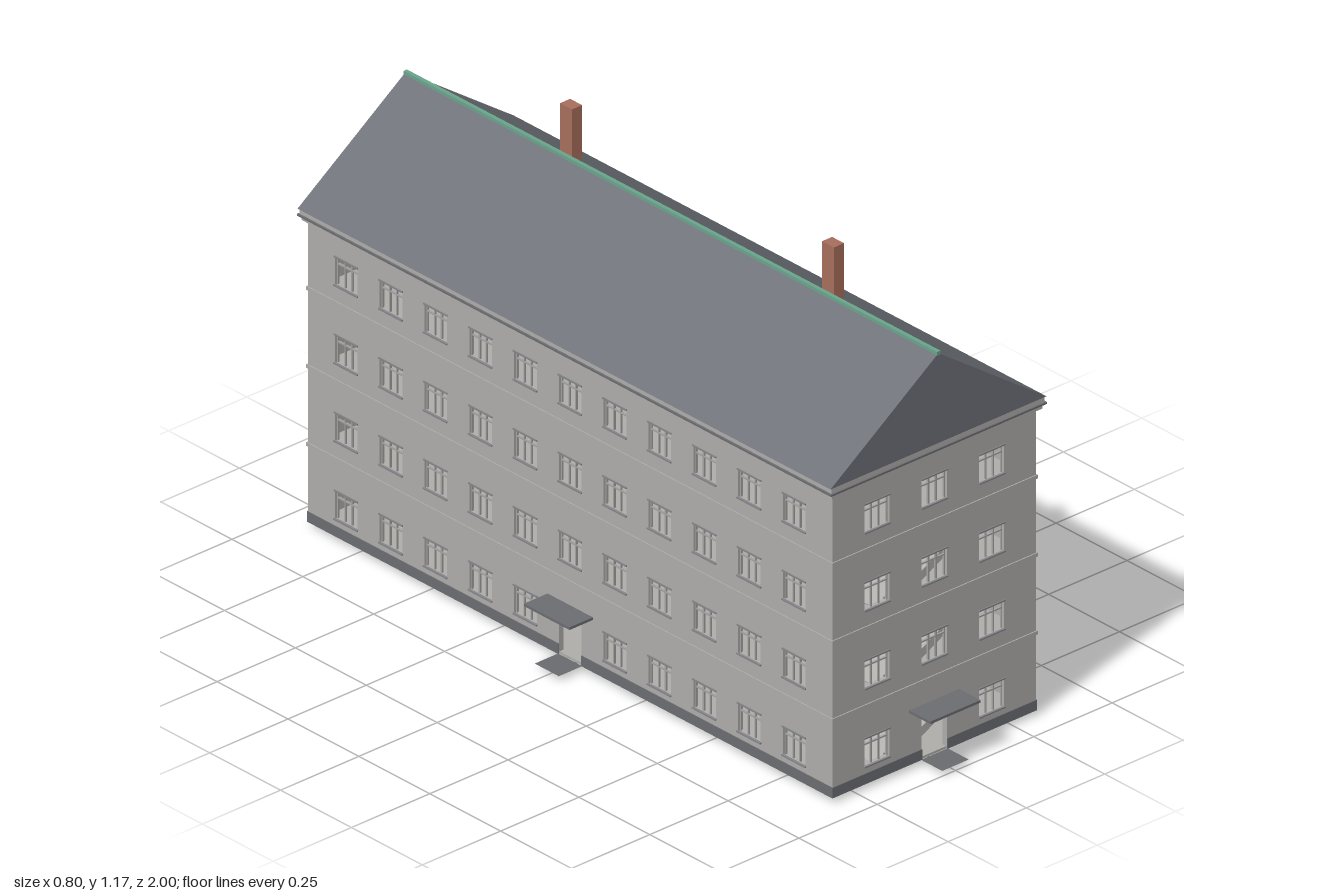
import * as THREE from 'three';
import { mergeGeometries } from 'three/addons/utils/BufferGeometryUtils.js';

const mat = (name, color, side = THREE.FrontSide) => {
  const m = new THREE.MeshStandardMaterial({ color, side });
  m.name = name;
  return m;
};

// Main dimensions
const HX = 0.325, HZ = 0.925, BASE = 0.017, TOP = 0.835, THICK = 0.015;
const FLOOR = 0.21, WIN_W = 0.08, WIN_H = 0.077, WIN_Y = 0.063, DOOR_W = 0.08, DOOR_TOP = 0.14;

const box = (w, h, d, x, y, z) => new THREE.BoxGeometry(w, h, d).translate(x, y, z);

function add(parent, name, geometry, material) {
  const mesh = new THREE.Mesh(Array.isArray(geometry) ? mergeGeometries(geometry) : geometry, material);
  mesh.name = name;
  parent.add(mesh);
  return mesh;
}

// One side of the house, outer face on local z = 0
function facade(name, width, wallWidth, columns, spacing, M) {
  const g = new THREE.Group();
  g.name = name;
  const w = wallWidth / 2, d = DOOR_W / 2;

  // Wall outline with a door notch and window holes
  const shape = new THREE.Shape([
    [-w, BASE], [-d, BASE], [-d, DOOR_TOP], [d, DOOR_TOP], [d, BASE], [w, BASE], [w, TOP], [-w, TOP],
  ].map(([x, y]) => new THREE.Vector2(x, y)));
  const frames = [], ledges = [];
  for (let row = 0; row < 4; row++) {
    for (let c = 0; c < columns; c++) {
      const i = c - (columns - 1) / 2;
      if (row === 0 && i === 0) continue;
      const x = i * spacing, y = WIN_Y + row * FLOOR, h = WIN_W / 2;
      shape.holes.push(new THREE.Path([
        [x - h, y], [x - h, y + WIN_H], [x + h, y + WIN_H], [x + h, y],
      ].map(([a, b]) => new THREE.Vector2(a, b))));
      // Mullions, transom and rim
      for (const mx of [-0.012, 0.012]) frames.push(box(0.004, WIN_H, 0.005, x + mx, y + WIN_H / 2, -0.009));
      for (const s of [-1, 1]) frames.push(box(0.003, WIN_H, 0.005, x + s * (h - 0.0015), y + WIN_H / 2, -0.009));
      frames.push(box(WIN_W, 0.004, 0.005, x, y + WIN_H * 0.72, -0.009));
      // Sill and lintel
      ledges.push(box(WIN_W + 0.004, 0.004, 0.006, x, y, 0.001));
      ledges.push(box(WIN_W + 0.004, 0.004, 0.005, x, y + WIN_H, 0.0005));
    }
  }
  const wall = new THREE.ExtrudeGeometry(shape, { depth: THICK, bevelEnabled: false });
  add(g, 'wall', wall.translate(0, 0, -THICK), M.wall);
  add(g, 'windowFrames', frames, M.frame);
  add(g, 'windowLedges', ledges, M.ledge);

  // Floor bands
  const bands = [];
  for (let i = 0; i < 3; i++) bands.push(box(width + 0.006, 0.01, 0.006, 0, 0.226 + i * FLOOR, 0));
  add(g, 'floorBands', bands, M.wall);

  // Plinth on both sides of the door
  const len = width / 2 - d;
  add(g, 'plinth', [-1, 1].map((s) => box(len + 0.002, 0.028, 0.008, s * (d + len / 2 + 0.001), BASE + 0.014, -0.002)), M.trim);

  // Canopy and thin doorstep
  add(g, 'canopy', box(0.16, 0.007, 0.075, 0, 0.16, 0.0375), M.trim);
  const step = new THREE.PlaneGeometry(0.085, 0.075).rotateX(-Math.PI / 2).translate(0, BASE, 0.0375);
  add(g, 'doorstep', step, M.step);
  return g;
}

export function createModel() {
  const model = new THREE.Group();
  model.name = 'apartmentHouse';
  const M = {
    wall: mat('wall grey', 0xb0aeab),
    frame: mat('frame grey', 0xa3a3a2),
    ledge: mat('ledge grey', 0x85868a),
    trim: mat('trim slate', 0x6c6e72),
    step: mat('doorstep slate', 0x6a6c70, THREE.DoubleSide),
    roof: mat('roof slate', 0x6d7178),
    brick: mat('chimney brick', 0xa86f5c),
    ridge: mat('ridge green', 0x6aa58c),
  };

  // Four sides
  const sides = [
    ['frontSide', 0, HZ, 2 * HX, 2 * HX, 3, 0.183],
    ['backSide', Math.PI, HZ, 2 * HX, 2 * HX, 3, 0.183],
    ['leftSide', Math.PI / 2, HX, 2 * HZ, 2 * (HZ - THICK), 11, 0.158],
    ['rightSide', -Math.PI / 2, HX, 2 * HZ, 2 * (HZ - THICK), 11, 0.158],
  ];
  for (const [name, turn, dist, width, wallWidth, columns, spacing] of sides) {
    const f = facade(name, width, wallWidth, columns, spacing, M);
    f.rotation.y = turn;
    f.position.set(Math.sin(turn) * dist, 0, Math.cos(turn) * dist);
    model.add(f);
    // Board above the back canopy
    if (name === 'backSide') add(f, 'doorBoard', box(0.27, 0.03, 0.008, 0, 0.184, 0.004), M.trim);
  }

  // Floors, from the ground slab to the attic
  const inX = 2 * (HX - THICK), inZ = 2 * (HZ - THICK);
  const floors = [box(2 * HX - 0.004, 0.006, 2 * HZ - 0.004, 0, BASE + 0.003, 0)];
  for (let i = 1; i < 4; i++) floors.push(box(inX, 0.01, inZ, 0, 0.016 + i * FLOOR, 0));
  add(model, 'floors', floors, M.wall);

  // Stair flights with handrails near the front
  const run = 0.4, rise = 0.208, slope = Math.atan2(rise, run), flight = Math.hypot(run, rise);
  const stairs = [], rails = [];
  for (let i = 0; i < 3; i++) {
    const y = 0.013 + rise / 2 + i * FLOOR;
    stairs.push(new THREE.BoxGeometry(flight, 0.023, 0.11).rotateZ(slope).translate(0.06, y, 0.847));
    rails.push(new THREE.BoxGeometry(flight, 0.004, 0.004).rotateZ(slope).translate(0.06, y + 0.045, 0.9));
  }
  add(model, 'stairs', stairs, M.wall);
  add(model, 'handrails', rails, M.frame);

  // Stepped cornice with a thin gutter line
  add(model, 'cornice', [
    box(0.672, 0.014, 1.87, 0, 0.836, 0),
    box(0.68, 0.016, 1.876, 0, 0.853, 0),
  ], M.wall);
  add(model, 'gutter', box(0.69, 0.005, 1.884, 0, 0.844, 0), M.trim);

  // Gabled roof prism
  const gable = new THREE.Shape([[-0.345, 0.861], [0.345, 0.861], [0, 1.103]].map(([x, y]) => new THREE.Vector2(x, y)));
  const roof = new THREE.ExtrudeGeometry(gable, { depth: 1.88, bevelEnabled: false });
  add(model, 'roof', roof.translate(0, 0, -0.94), M.roof);
  add(model, 'ridgeCap', box(0.011, 0.01, 1.882, 0, 1.103, 0), M.ridge);

  // Chimneys
  for (const z of [-0.462, 0.462]) add(model, 'chimney', box(0.032, 0.165, 0.042, 0.096, 1.092, z), M.brick);

  return model;
}
